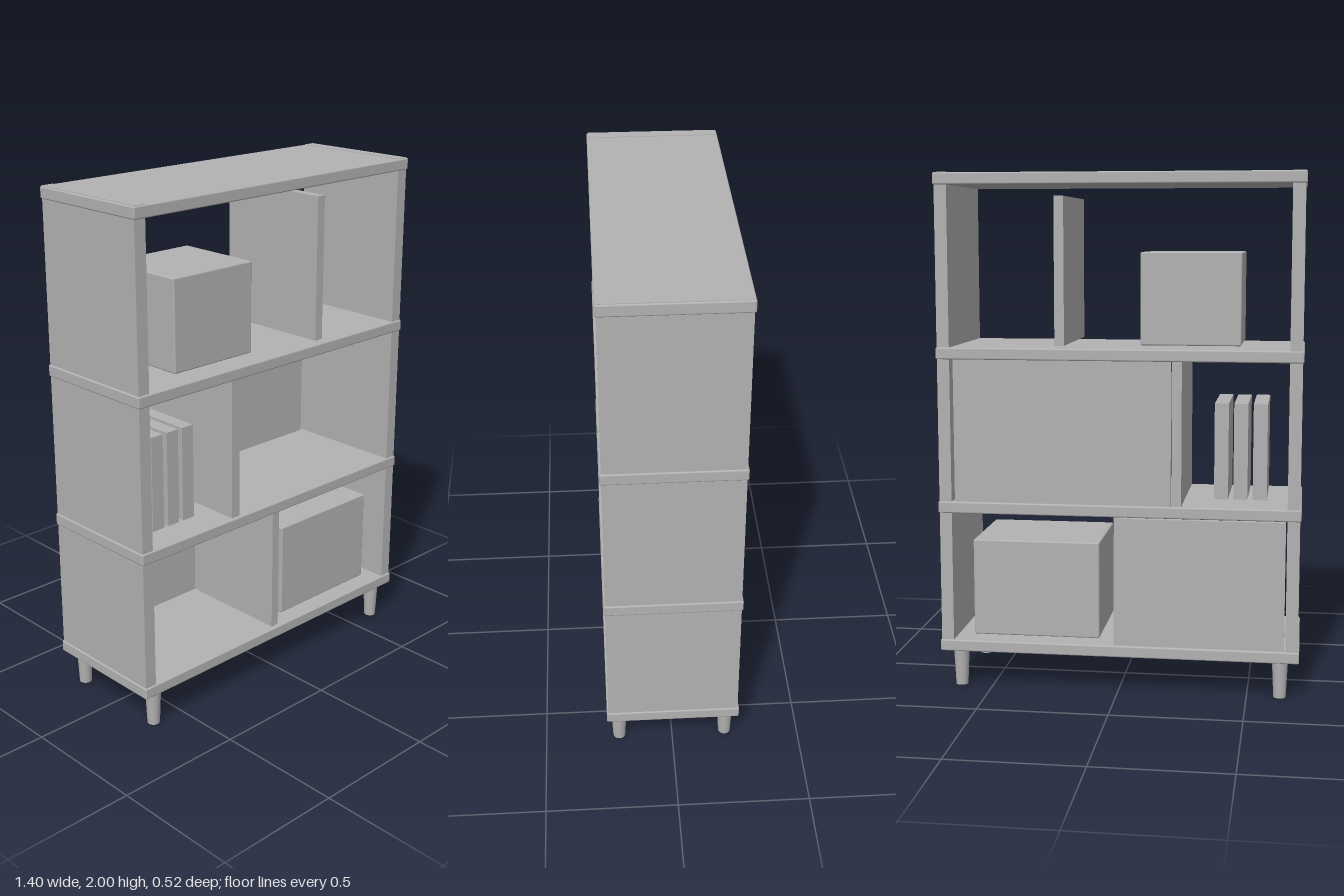
import * as THREE from 'three';
import { RoundedBoxGeometry } from 'three/addons/geometries/RoundedBoxGeometry.js';

export function createModel() {
  const model = new THREE.Group();
  model.name = 'shelfUnit';
  const grey = new THREE.MeshStandardMaterial({ color: 0xb2b2b2 });
  grey.name = 'grey';

  // Box given by its lower and upper limits, optionally with softened edges
  function box(name, [x0, x1], [y0, y1], [z0, z1], radius = 0) {
    const size = [x1 - x0, y1 - y0, z1 - z0];
    const geometry = radius
      ? new RoundedBoxGeometry(...size, 2, radius)
      : new THREE.BoxGeometry(...size);
    const mesh = new THREE.Mesh(geometry, grey);
    mesh.name = name;
    mesh.position.set((x0 + x1) / 2, (y0 + y1) / 2, (z0 + z1) / 2);
    model.add(mesh);
  }

  // Four shelves that overhang the side panels slightly
  const shelves = [[0.145, 0.19], [0.697, 0.742], [1.295, 1.34], [1.953, 1.998]];
  shelves.forEach((y, i) => box(`shelf${i + 1}`, [-0.7, 0.7], y, [-0.258, 0.258], 0.006));

  // Side panels
  box('leftPanel', [0.647, 0.695], [0.16, 2], [-0.252, 0.252]);
  box('rightPanel', [-0.695, -0.647], [0.16, 2], [-0.252, 0.252]);

  // Upright dividers
  box('lowerDivider', [-0.02, 0.015], [0.19, 0.697], [-0.24, 0.24]);
  box('middleDivider', [-0.245, -0.207], [0.742, 1.295], [-0.245, 0.245]);
  box('upperDivider', [0.203, 0.24], [1.35, 1.91], [-0.24, 0.24]);

  // Back panels
  box('lowerBack', [-0.642, 0.015], [0.19, 0.69], [-0.245, -0.22]);
  box('middleBack', [-0.205, 0.635], [0.742, 1.295], [-0.247, -0.235]);

  // Storage boxes
  box('upperBox', [-0.463, -0.08], [1.35, 1.702], [-0.178, 0.178], 0.006);
  box('lowerBox', [0.077, 0.577], [0.2, 0.582], [-0.198, 0.198], 0.006);

  // Books
  for (let i = 0; i < 3; i++) {
    const x = -0.566 + i * 0.074;
    box(`book${i + 1}`, [x, x + 0.054], [0.76, 1.13], [-0.16, 0.16]);
  }

  // Tapered legs
  const legGeometry = new THREE.CylinderGeometry(0.031, 0.024, 0.147, 16);
  for (const x of [-0.627, 0.627]) {
    for (const z of [-0.21, 0.21]) {
      const leg = new THREE.Mesh(legGeometry, grey);
      leg.name = `${z > 0 ? 'front' : 'back'}${x > 0 ? 'Left' : 'Right'}Leg`;
      leg.position.set(x, 0.0735, z);
      model.add(leg);
    }
  }
  return model;
}
